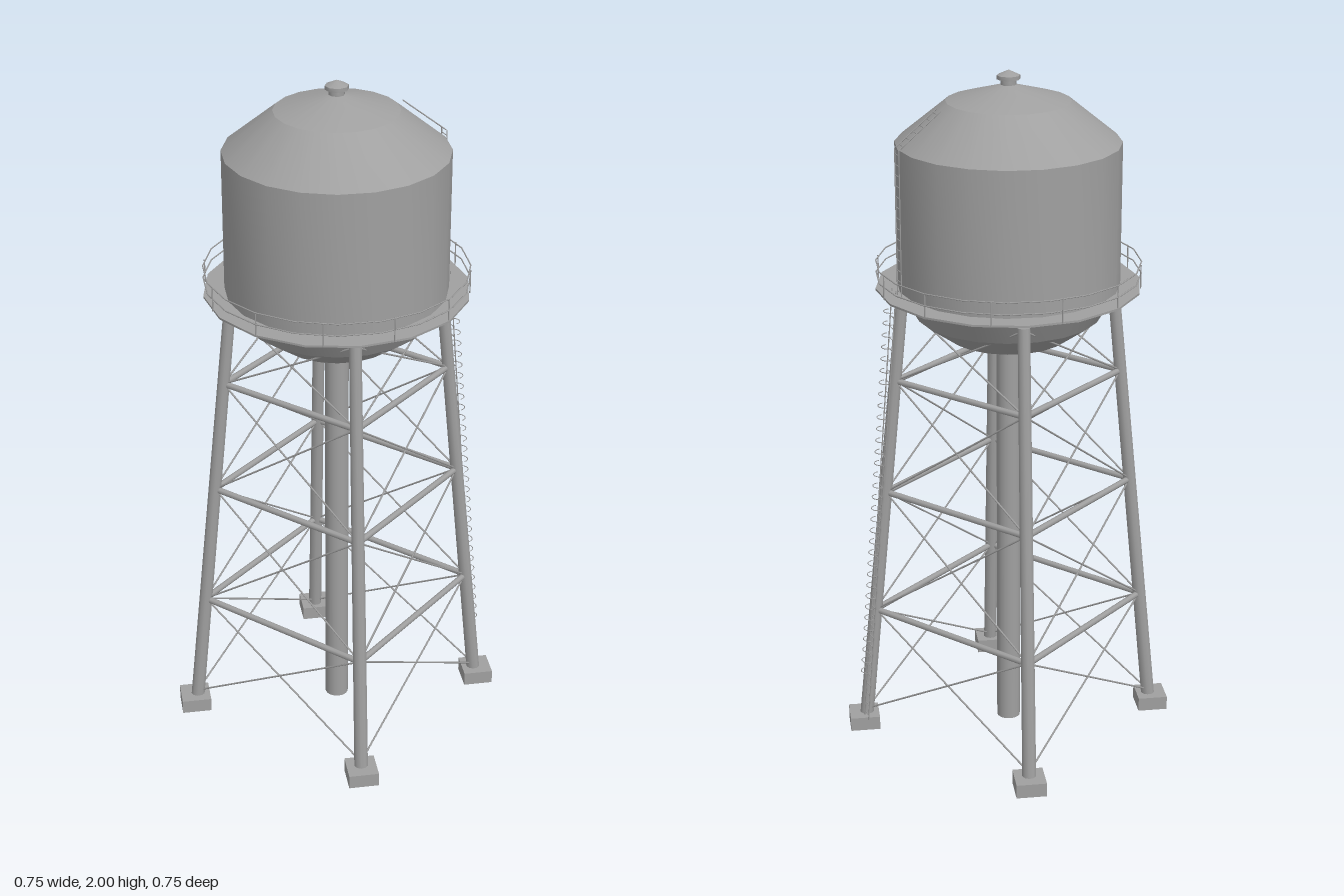
import * as THREE from 'three';
import { toCreasedNormals } from 'three/addons/utils/BufferGeometryUtils.js';

const V = (x, y, z) => new THREE.Vector3(x, y, z);
const UP = V(0, 1, 0);

export function createModel() {
  const model = new THREE.Group();
  model.name = 'waterTower';
  const steel = new THREE.MeshStandardMaterial({ color: 0xa0a0a0 });
  steel.name = 'grey steel';

  const add = (geometry, name, parent = model) => {
    const mesh = new THREE.Mesh(geometry, steel);
    mesh.name = name;
    parent.add(mesh);
    return mesh;
  };
  const group = (name) => {
    const g = new THREE.Group();
    g.name = name;
    model.add(g);
    return g;
  };
  // Round bar between two points
  const bar = (a, b, r, name, parent, sides = 6, rTop = r) => {
    const dir = b.clone().sub(a);
    const mesh = add(new THREE.CylinderGeometry(rTop, r, dir.length(), sides), name, parent);
    mesh.position.copy(a).add(b).multiplyScalar(0.5);
    mesh.quaternion.setFromUnitVectors(UP, dir.normalize());
    return mesh;
  };
  const lathe = (pts, segments, name, crease = 0.38) => add(toCreasedNormals(
    new THREE.LatheGeometry(pts.map(([r, y]) => new THREE.Vector2(r, y)), segments), crease), name);

  // Tank with shallow bowl below and conical roof above
  lathe([[0, 1.215], [0.17, 1.235], [0.262, 1.3], [0.316, 1.39], [0.316, 1.8],
    [0.174, 1.915], [0, 1.965]], 20, 'tank');
  lathe([[0.022, 1.945], [0.022, 1.972], [0.033, 1.974], [0.033, 1.985], [0, 2]], 8, 'roofVent', 0.8);

  // Central riser pipe
  const riser = add(new THREE.CylinderGeometry(0.035, 0.035, 1.23, 16), 'riserPipe');
  riser.position.y = 0.615;

  // Walkway ring
  lathe([[0.3, 1.385], [0.377, 1.385], [0.377, 1.391], [0.3, 1.391], [0.3, 1.385]], 16, 'walkway', 0.5);

  // Walkway railing
  const railing = group('railing');
  for (const y of [1.422, 1.456]) {
    const rail = add(new THREE.TorusGeometry(0.375, 0.002, 5, 20), 'rail', railing);
    rail.rotation.x = Math.PI / 2;
    rail.position.y = y;
  }
  for (let i = 0; i < 12; i++) {
    const a = i * Math.PI / 6, x = 0.374 * Math.cos(a), z = 0.374 * Math.sin(a);
    bar(V(x, 1.388, z), V(x, 1.457, z), 0.002, 'railPost', railing, 5);
  }

  // Four inclined legs on square footings turned to the diagonal
  const spread = (y) => 0.31 - 0.0705 * y;
  const corners = [[1, 1], [1, -1], [-1, -1], [-1, 1]];
  const at = ([sx, sz], y) => V(sx * spread(y), y, sz * spread(y));
  const legs = group('legs');
  for (const c of corners) {
    bar(at(c, 0.03), at(c, 1.36), 0.021, 'leg', legs, 10, 0.018);
    const foot = add(new THREE.BoxGeometry(0.088, 0.042, 0.088), 'footing', legs);
    foot.position.set(c[0] * 0.313, 0.021, c[1] * 0.313);
    foot.rotation.y = Math.PI / 4;
  }

  // Horizontal struts and crossed tie rods on each face
  const bracing = group('bracing');
  const levels = [0.05, 0.385, 0.765, 1.11, 1.35];
  corners.forEach((c, i) => {
    const d = corners[(i + 1) % 4];
    for (const y of levels.slice(1, 4)) bar(at(c, y), at(d, y), 0.009, 'strut', bracing, 8);
    for (let k = 0; k < 4; k++) {
      bar(at(c, levels[k]), at(d, levels[k + 1]), 0.0028, 'tieRod', bracing, 5);
      bar(at(d, levels[k]), at(c, levels[k + 1]), 0.0028, 'tieRod', bracing, 5);
    }
  });

  // Ladders: two side rails with evenly spaced rungs
  const out = V(0.5, 0, -0.866), side = V(0.866, 0, 0.5);
  const ladder = (a, b, rungs, name) => {
    const g = group(name);
    const off = side.clone().multiplyScalar(0.016);
    for (const s of [-1, 1]) {
      const o = off.clone().multiplyScalar(s);
      bar(a.clone().add(o), b.clone().add(o), 0.0018, 'ladderRail', g, 5);
    }
    for (let i = 0; i < rungs; i++) {
      const p = a.clone().lerp(b, (i + 0.5) / rungs);
      bar(p.clone().sub(off), p.clone().add(off), 0.0014, 'rung', g, 5);
    }
    return g;
  };
  const radial = (r, y) => V(out.x * r, y, out.z * r);
  const foot = V(0.282, 0.04, -0.338), top = V(0.2, 1.4, -0.265);
  const legLadder = ladder(foot, top, 42, 'legLadder');
  ladder(radial(0.328, 1.39), radial(0.328, 1.81), 14, 'wallLadder');
  ladder(radial(0.325, 1.812), radial(0.206, 1.906), 6, 'roofLadder');

  // Safety hoops around the leg ladder
  const hoopGeometry = new THREE.TorusGeometry(0.02, 0.0014, 4, 8, Math.PI);
  const basis = new THREE.Matrix4().makeBasis(side, out, side.clone().cross(out));
  for (let i = 0; i < 34; i++) {
    const hoop = add(hoopGeometry, 'safetyHoop', legLadder);
    hoop.quaternion.setFromRotationMatrix(basis);
    hoop.position.copy(foot).lerp(top, 0.12 + 0.86 * i / 33).addScaledVector(out, 0.006);
  }
  return model;
}
